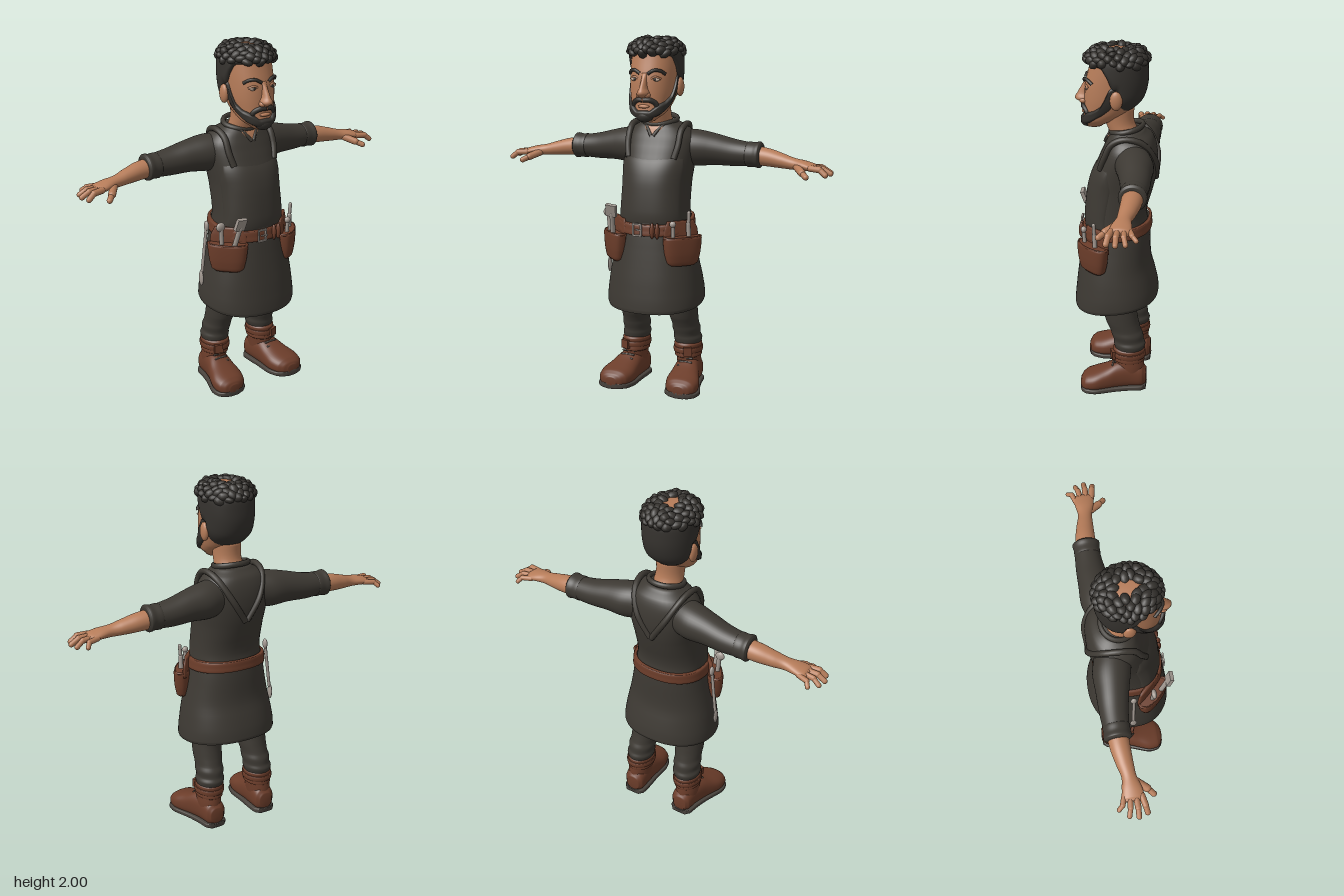
import * as THREE from 'three';

const mat = (name, color, extra = {}) => Object.assign(new THREE.MeshStandardMaterial({ color, ...extra }), { name });
const V = (p) => new THREE.Vector3(...p);
const deg = Math.PI / 180;

// Smooth body defined by rings [position, centreA, centreB, radiusA, radiusB] along one axis
class Body {
  constructor(rings, axis = 'y', power = 2) { Object.assign(this, { rings, axis, power }); }
  ring(pos) {
    const R = this.rings, n = R.length;
    let i = 0;
    while (i < n - 2 && pos > R[i + 1][0]) i++;
    const f = (pos - R[i][0]) / (R[i + 1][0] - R[i][0]);
    const a = R[Math.max(i - 1, 0)], b = R[i], c = R[i + 1], d = R[Math.min(i + 2, n - 1)];
    return [1, 2, 3, 4].map((k) => b[k] + 0.5 * f * (c[k] - a[k] + f * (2 * a[k] - 5 * b[k] + 4 * c[k] - d[k] + f * (3 * (b[k] - c[k]) + d[k] - a[k]))));
  }
  at(t, pos, out = 0) {
    const [a, b, r, s] = this.ring(pos), e = 2 / this.power, c = Math.cos(t), z = Math.sin(t);
    const p = a + (r + out) * Math.sign(c) * Math.abs(c) ** e, q = b + (s + out) * Math.sign(z) * Math.abs(z) ** e;
    return this.axis === 'y' ? [p, pos, q] : this.axis === 'x' ? [pos, p, q] : [p, q, pos];
  }
  // Whole surface, with optional end caps
  loft(caps = true, sides = 40, steps = 4) {
    const R = this.rings, rows = [], v = [], idx = [];
    for (let i = 0; i < R.length - 1; i++) for (let k = 0; k < steps; k++) rows.push(R[i][0] + (R[i + 1][0] - R[i][0]) * k / steps);
    rows.push(R[R.length - 1][0]);
    rows.forEach((y) => { for (let j = 0; j < sides; j++) v.push(...this.at(j / sides * 2 * Math.PI, y)); });
    const flip = this.axis !== 'y', tri = (a, b, c) => flip ? idx.push(a, c, b) : idx.push(a, b, c);
    for (let i = 0; i < rows.length - 1; i++) for (let j = 0; j < sides; j++) {
      const a = i * sides + j, b = i * sides + (j + 1) % sides;
      tri(a, a + sides, b); tri(b, a + sides, b + sides);
    }
    if (caps) [0, rows.length - 1].forEach((i) => {
      const m = v.length / 3, [a, b] = this.ring(rows[i]), y = rows[i];
      v.push(...(this.axis === 'y' ? [a, y, b] : this.axis === 'x' ? [y, a, b] : [a, b, y]));
      for (let j = 0; j < sides; j++) {
        const p = i * sides + j, q = i * sides + (j + 1) % sides;
        if (i) tri(p, m, q); else tri(p, q, m);
      }
    });
    return build(v, idx);
  }
  // Raised piece of the surface, centred on the given angle; lo and hi depend on degrees from it
  patch(mid, half, lo, hi, out, edge = -0.004) {
    const v = [], idx = [], nt = 64, ny = 16;
    for (let i = 0; i <= nt; i++) for (let j = 0; j <= ny; j++) {
      const a = (i / nt * 2 - 1) * half, l = lo(Math.abs(a)), h = hi(Math.abs(a)), f = j / ny;
      const k = Math.min(1, 5 * Math.min(f, 1 - f), 8 * Math.min(i, nt - i) / nt);
      v.push(...this.at((mid + a) * deg, l + (h - l) * f, edge + (out - edge) * Math.sqrt(k)));
      if (i < nt && j < ny) { const p = i * (ny + 1) + j, q = p + ny + 1; idx.push(p, p + 1, q, q, p + 1, q + 1); }
    }
    return build(v, idx);
  }
}

function build(v, idx) {
  const g = new THREE.BufferGeometry();
  g.setAttribute('position', new THREE.Float32BufferAttribute(v, 3));
  g.setIndex(idx);
  g.computeVertexNormals();
  return g;
}
// Move vertices by a rule
function bend(g, rule) {
  const p = g.attributes.position;
  for (let i = 0; i < p.count; i++) p.setXYZ(i, ...rule(p.getX(i), p.getY(i), p.getZ(i)));
  g.computeVertexNormals();
  return g;
}
function mirrored(geo) {
  const g = geo.clone().scale(-1, 1, 1), a = g.index.array;
  for (let i = 0; i < a.length; i += 3) [a[i], a[i + 1]] = [a[i + 1], a[i]];
  return g;
}
const table = (pts) => (d) => {
  let i = 0;
  while (i < pts.length - 2 && d > pts[i + 1][0]) i++;
  const f = THREE.MathUtils.clamp((d - pts[i][0]) / (pts[i + 1][0] - pts[i][0]), 0, 1);
  return pts[i][1] + (pts[i + 1][1] - pts[i][1]) * f;
};
function rod(a, b, r) {
  const d = V(b).sub(V(a)), g = new THREE.CapsuleGeometry(r, d.length(), 6, 12);
  g.applyQuaternion(new THREE.Quaternion().setFromUnitVectors(V([0, 1, 0]), d.clone().normalize()));
  return g.translate(...V(a).addScaledVector(d, 0.5).toArray());
}
const tube = (pts, r) => new THREE.TubeGeometry(new THREE.CatmullRomCurve3(pts.map(V)), 32, r, 10);
const ball = (p, s) => new THREE.SphereGeometry(1, 20, 14).scale(...s).translate(...p);
const box = (p, s) => new THREE.BoxGeometry(...s).translate(...p);

export function createModel() {
  const model = new THREE.Group();
  model.name = 'craftsman';
  const cloth = mat('dark cloth', 0x3d3933, { side: THREE.DoubleSide }), skin = mat('skin', 0xb67c59), hair = mat('hair', 0x35322e);
  const leather = mat('leather', 0x6c3d2a), metal = mat('metal', 0xa39a92), sole = mat('sole', 0x48423c), eye = mat('eye', 0xc4ab98);
  const add = (name, geo, m, parent = model) => {
    const mesh = new THREE.Mesh(geo, m);
    mesh.name = name;
    parent.add(mesh);
    return mesh;
  };
  const pair = (name, geo, m) => { add(name + 'Left', geo, m); add(name + 'Right', mirrored(geo), m); };

  // Head and neck
  const head = new Body([[1.54, 0, .13, .04, .045], [1.58, 0, .1, .085, .085], [1.63, 0, .06, .108, .12], [1.7, 0, .03, .125, .15],
    [1.78, 0, .015, .13, .16], [1.86, 0, .005, .13, .152], [1.93, 0, 0, .122, .14], [1.96, 0, 0, .09, .11], [1.975, 0, 0, .04, .05]], 'y', 2.2);
  add('head', head.loft(), skin);
  add('neck', new Body([[1.43, 0, -.06, .1, .09], [1.5, 0, -.04, .085, .082], [1.57, 0, -.01, .076, .08], [1.66, 0, 0, .08, .09]]).loft(), skin);
  add('nose', new Body([[1.668, 0, .17, .022, .03], [1.69, 0, .182, .034, .05], [1.72, 0, .178, .022, .042], [1.77, 0, .166, .016, .026], [1.8, 0, .155, .02, .02]]).loft(), skin);
  pair('ear', ball([.137, 1.72, -.005], [.02, .052, .034]).rotateY(0), skin);
  pair('nostril', ball([.024, 1.683, .185], [.016, .015, .022]), skin);
  const [ex, ey, ez] = head.at(64 * deg, 1.767);
  pair('eye', ball([ex, ey, ez - .002], [.024, .011, .008]), eye);
  pair('iris', ball([ex - .002, ey, ez + .004], [.008, .008, .004]), hair);
  pair('upperLid', tube([[ex - .03, ey, ez + .004], [ex, ey + .013, ez + .003], [ex + .028, ey + .002, ez - .012]], .006), skin);
  pair('eyebrow', tube([[.022, 1.797, .178], [.055, 1.815, .172], [.085, 1.812, .15], [.103, 1.795, .125]], .009), hair);
  add('lowerLip', ball([0, 1.622, .182], [.034, .01, .014]), skin);

  // Beard and moustache
  add('beard', head.patch(90, 97, table([[0, 1.541], [40, 1.55], [65, 1.575], [85, 1.62], [97, 1.67]]),
    table([[0, 1.603], [20, 1.6], [40, 1.635], [60, 1.65], [75, 1.68], [86, 1.79], [97, 1.79]]), .016), hair);
  pair('moustache', tube([[0, 1.658, .188], [.035, 1.657, .182], [.062, 1.638, .162], [.07, 1.6, .146]], .014), hair);
  add('chinTuft', ball([0, 1.57, .168], [.05, .035, .035]), hair);

  // Hair: close-cut shell with curls on the crown
  add('hairShell', head.patch(-90, 180, table([[0, 1.62], [50, 1.65], [72, 1.68], [80, 1.77], [92, 1.77], [98, 1.82], [115, 1.885], [180, 1.9]]), () => 1.968, .018), hair);
  const curls = new THREE.Group();
  curls.name = 'curls';
  model.add(curls);
  for (let i = 0; i < 75; i++) {
    const y = 1.972 - .072 * (i / 75) ** 1.3, t = i * 2.39996;
    const [x, h, z] = head.at(t, y, .006);
    const c = add('curl', new THREE.SphereGeometry(.028, 12, 8), hair, curls);
    c.scale.set(1.25, .8 + .15 * Math.sin(i * 5), .9);
    c.position.set(x, h, z + (z > 0.05 ? .008 : 0));
    c.rotation.set(.4 * Math.sin(i), t, .4 * Math.cos(i * 3));
  }

  // Shirt, bib and neckline
  const torso = new Body([[.94, 0, 0, .2, .178], [1.05, 0, .005, .19, .168], [1.2, 0, -.022, .188, .178], [1.3, 0, -.045, .198, .174],
    [1.38, 0, -.062, .205, .158], [1.44, 0, -.07, .198, .14], [1.49, 0, -.07, .16, .118], [1.53, 0, -.055, .098, .085]], 'y', 2.3);
  add('shirt', torso.loft(), cloth);
  add('apronBib', torso.patch(90, 78, () => .95, table([[0, 1.335], [45, 1.345], [60, 1.34], [78, 1.22]]), .01), cloth);
  add('neckOpening', torso.patch(90, 26, table([[0, 1.452], [26, 1.522]]), () => 1.528, .005, .003), skin);
  add('collar', new THREE.TorusGeometry(.092, .013, 10, 40).rotateX(Math.PI / 2).scale(1.05, 1.2, .98).rotateX(.22).translate(0, 1.532, -.05), cloth);
  pair('collarFlap', tube([[.006, 1.45, .07], [.03, 1.485, .05], [.06, 1.52, .02]], .009), cloth);
  pair('shoulderStrap', tube([[.135, 1.33, .085], [.15, 1.4, .06], [.152, 1.48, .02], [.155, 1.513, -.05], [.14, 1.49, -.14], [.085, 1.38, -.212], [.004, 1.25, -.212]], .017), cloth);

  // Sleeves, forearms and hands
  pair('sleeve', new Body([[.1, 1.38, -.09, .1, .1], [.2, 1.375, -.11, .102, .104], [.3, 1.37, -.122, .088, .09], [.42, 1.355, -.133, .074, .077], [.55, 1.35, -.135, .062, .066]], 'x').loft(), cloth);
  pair('sleeveCuff', new Body([[.485, 1.35, -.134, .062, .066], [.495, 1.35, -.134, .07, .072], [.53, 1.35, -.134, .068, .071], [.56, 1.35, -.134, .073, .075], [.57, 1.35, -.134, .06, .062]], 'x').loft(), cloth);
  pair('forearm', new Body([[.54, 1.345, -.134, .052, .056], [.62, 1.338, -.13, .049, .053], [.7, 1.325, -.12, .04, .045], [.76, 1.315, -.11, .032, .039],
    [.82, 1.31, -.105, .027, .052], [.87, 1.302, -.103, .022, .056], [.888, 1.298, -.103, .014, .048]], 'x').loft(), skin);
  [[-.06, .965, 1.272, -.043], [-.09, .982, 1.275, -.09], [-.12, .972, 1.275, -.138], [-.148, .932, 1.28, -.186]].forEach(([z, x, y, tz], i) => {
    const base = [.865 - i * .006, 1.302, z], mid = [(.87 + x) / 2, 1.299, (z + tz) / 2 + .002], tip = [x - .014, y, tz];
    pair('finger', rod(base, mid, .0175 - i * .001), skin);
    pair('fingertip', rod(mid, tip, .0155 - i * .001), skin);
  });
  pair('thumbBase', rod([.785, 1.302, -.08], [.828, 1.28, -.025], .021), skin);
  pair('thumb', rod([.828, 1.28, -.025], [.858, 1.262, .004], .016), skin);

  // Apron skirt, with the hem lower in front
  const skirt = new Body([[.51, 0, .003, .27, .236], [.53, 0, .003, .276, .238], [.62, 0, .006, .268, .227], [.75, 0, .013, .245, .203], [.9, 0, .005, .215, .19], [1, 0, 0, .197, .18]], 'y', 2.25);
  add('apronSkirt', bend(skirt.loft(false, 64), (x, y, z) => [x, y - z * .13 * (1 - y) / .49, z]), cloth);

  // Belt, rising towards the back
  const belt = new Body([[.93, 0, .004, .2, .18], [.934, 0, .004, .217, .197], [.962, 0, .003, .216, .196], [.992, 0, .002, .212, .193], [.996, 0, .002, .195, .176]], 'y', 2.25);
  add('belt', bend(belt.loft(false, 64), (x, y, z) => [x, y - z * .11, z]), leather);
  [-.055, -.008].forEach((x) => add('buckleSide', box([x, .946, .206], [.009, .072, .01]), metal));
  [.914, .978].forEach((y) => add('buckleBar', box([-.031, y, .206], [.056, .009, .01]), metal));
  add('bucklePin', box([-.02, .946, .209], [.04, .007, .008]), metal);
  [.055, .085].forEach((x) => add('beltLoop', ball([x, .945, .196], [.013, .045, .015]), leather));

  // Tool pouches
  const place = (g) => g.rotateY(.8).translate(.203, 0, .118);
  pair('pouch', place(new Body([[.75, 0, 0, .07, .025], [.765, 0, 0, .09, .038], [.82, 0, 0, .104, .047], [.9, 0, 0, .112, .05], [.912, 0, 0, .108, .046]], 'y', 2.6).loft()), leather);
  pair('pouchRim', place(new THREE.TorusGeometry(1, .07, 8, 40).rotateX(Math.PI / 2).scale(.108, .1, .047).translate(0, .908, 0)), leather);
  pair('pouchBack', place(new Body([[.88, 0, -.024, .106, .016], [.95, 0, -.026, .1, .014], [.995, 0, -.028, .08, .011]], 'y', 3).loft()), leather);

  // Hand tools
  add('awlHandle', rod([.168, .88, .165], [.168, .97, .172], .011), metal);
  add('awlKnob', ball([.167, .985, .172], [.018, .018, .016]), metal);
  add('fileHandle', rod([.235, .88, .1], [.232, .98, .105], .013), metal);
  add('fileBlade', rod([.232, .97, .105], [.237, 1.045, .108], .01), metal);
  add('chiselShaft', rod([-.195, .88, .16], [-.182, 1.02, .205], .014), metal);
  add('chiselHead', box([0, 0, 0], [.06, .07, .022]).rotateX(.32).rotateZ(-.12).translate(-.183, 1.045, .213), metal);
  add('pliersHandle', rod([-.235, .88, .11], [-.245, 1.01, .115], .013), metal);
  add('pliersHead', ball([-.248, 1.015, .116], [.028, .026, .015]), metal);
  add('spoonHandle', rod([-.262, 1, .0], [-.293, .72, -.005], .009), metal);
  add('spoonTop', ball([-.263, .99, 0], [.013, .03, .018]), metal);
  add('spoonBowl', ball([-.298, .685, -.006], [.01, .045, .02]), metal);

  // Trousers
  pair('trouserLeg', new Body([[.24, .162, -.085, .07, .08], [.28, .16, -.086, .08, .09], [.305, .157, -.08, .074, .086], [.34, .156, -.072, .079, .09], [.37, .154, -.06, .075, .088], [.42, .15, -.042, .08, .093], [.5, .146, -.026, .083, .097], [.62, .12, -.02, .1, .11], [.75, .1, -.01, .1, .12]]).loft(), cloth);

  // Boots
  const foot = new Body([[-.183, .166, .075, .04, .045], [-.16, .166, .08, .06, .07], [-.09, .17, .09, .068, .085], [-.02, .18, .085, .076, .085],
    [.04, .19, .07, .088, .072], [.1, .2, .06, .098, .06], [.155, .206, .052, .086, .05], [.18, .208, .046, .06, .038], [.19, .208, .042, .03, .025]], 'z', 2.4);
  pair('boot', bend(foot.loft(), (x, y, z) => [x, Math.max(y, .02), z]), leather);
  const soleRings = foot.rings.map(([z, x, , r]) => [z, x, .016, r + .006, .016]);
  pair('bootSole', new Body(soleRings, 'z', 5).loft(), sole);
  pair('bootHeel', new Body([[0, .168, -.125, .06, .058], [.03, .168, -.125, .064, .062]], 'y', 2.6).loft(), sole);
  pair('bootShaft', new Body([[.06, .17, -.085, .064, .085], [.14, .168, -.085, .067, .086], [.2, .164, -.082, .066, .082]]).loft(), leather);
  pair('bootCuff', new Body([[.172, .164, -.082, .064, .08], [.18, .164, -.082, .075, .09], [.21, .163, -.082, .073, .087], [.25, .162, -.082, .079, .092], [.262, .162, -.082, .068, .082]]).loft(), leather);
  pair('bootStrap', new Body([[.2, .163, -.082, .07, .08], [.203, .163, -.082, .081, .095], [.232, .163, -.082, .082, .096], [.236, .163, -.082, .07, .08]]).loft(), leather);
  pair('strapFlap', box([0, 0, 0], [.05, .05, .018]).rotateY(.35).translate(.195, .217, .008), leather);
  [[.175, -.002], [.155, .012], [.138, .035]].forEach(([y, z]) => pair('lace', rod([.145, y, z - .005], [.215, y, z - .005], .006), sole));

  return model;
}
